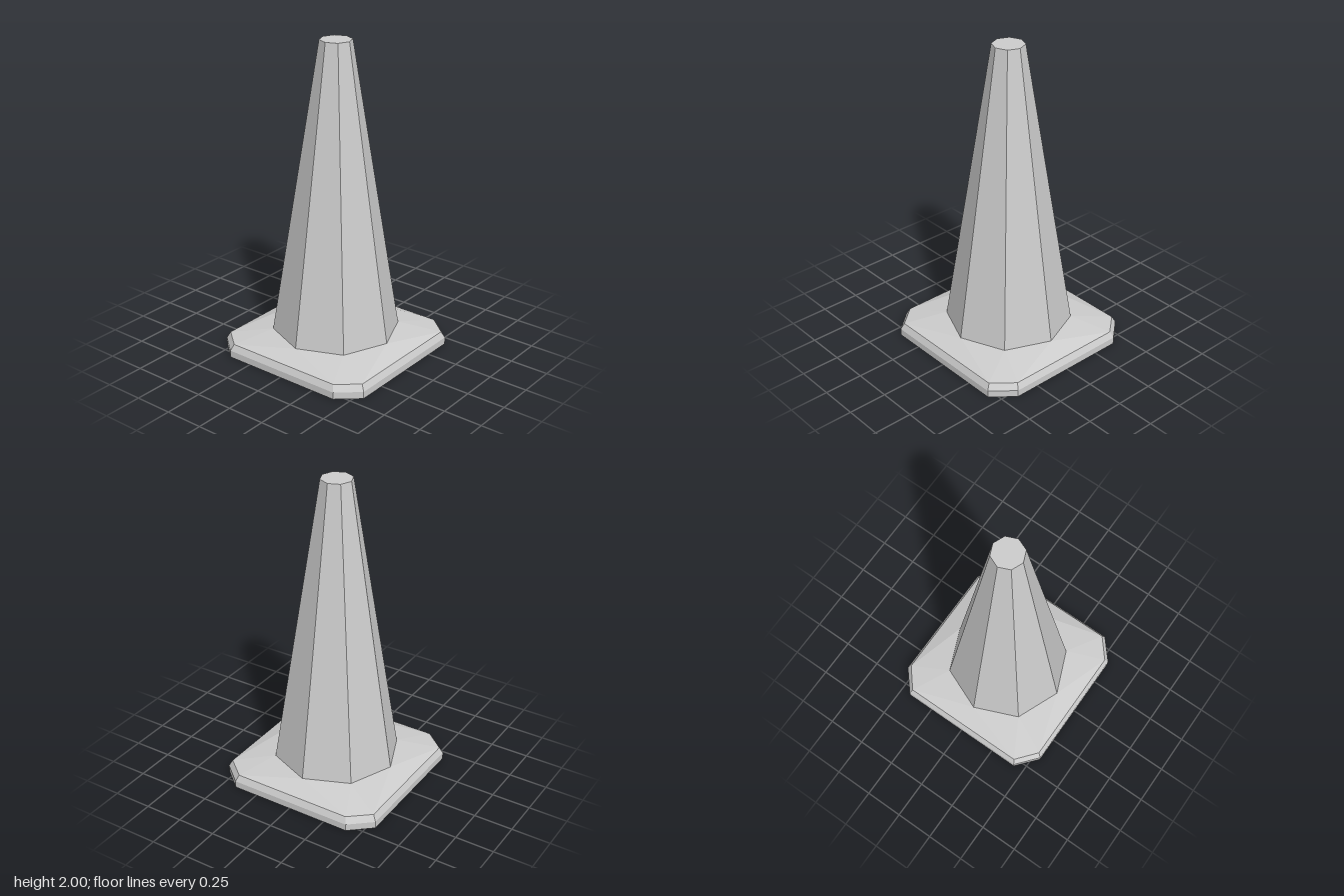
import * as THREE from 'three';

// Rectangle with cut corners: half width w, corner points at cx and cz
function outline(w, cx, cz, y) {
  return [[w, -cz], [w, cz], [cx, w], [-cx, w], [-w, cz], [-w, -cz], [-cx, -w], [cx, -w]]
    .map(([x, z]) => [x, y, z]);
}

export function createModel() {
  const group = new THREE.Group();
  const material = new THREE.MeshStandardMaterial({ color: 0xcccccc, flatShading: true });
  const add = (name, geometry) => {
    const mesh = new THREE.Mesh(geometry, material);
    mesh.name = name;
    group.add(mesh);
  };
  const SIDES = 8, CONE_Y = 0.135, CONE_R = 0.4;

  // Tapered eight-sided cone with a flat top
  const profile = [[CONE_R, CONE_Y], [0.1, 2], [0, 2]].map(([r, y]) => new THREE.Vector2(r, y));
  add('cone', new THREE.LatheGeometry(profile, SIDES));

  // Base plate: straight rim, bevel, then a slope rising to the foot of the cone
  const levels = [
    outline(0.548, 0.41, 0.43, 0),
    outline(0.548, 0.41, 0.43, 0.045),
    outline(0.527, 0.395, 0.417, 0.085),
  ];
  const foot = Array.from({ length: SIDES }, (_, k) => {
    const a = (k / SIDES) * Math.PI * 2;
    return [CONE_R * Math.cos(a), CONE_Y, CONE_R * Math.sin(a)];
  });
  const positions = [];
  const tri = (...corners) => corners.forEach((p) => positions.push(...p));
  const [bottom, , top] = levels;

  for (let k = 0; k < SIDES; k++) {
    const n = (k + 1) % SIDES;
    // rim and bevel
    for (let i = 0; i < 2; i++) {
      const lo = levels[i], hi = levels[i + 1];
      tri(lo[k], hi[k], lo[n]);
      tri(lo[n], hi[k], hi[n]);
    }
    // underside
    tri(bottom[k], bottom[n], [0, 0, 0]);
    // slope: a fan on each long side, one triangle on each corner
    if (k % 2 === 0) {
      tri(top[k], foot[k], top[n]);
      tri(top[k], foot[(k + SIDES - 1) % SIDES], foot[k]);
      tri(top[n], foot[k], foot[n]);
    } else {
      tri(top[k], foot[k], top[n]);
    }
  }
  const base = new THREE.BufferGeometry();
  base.setAttribute('position', new THREE.Float32BufferAttribute(positions, 3));
  base.computeVertexNormals();
  add('base', base);

  return group;
}
